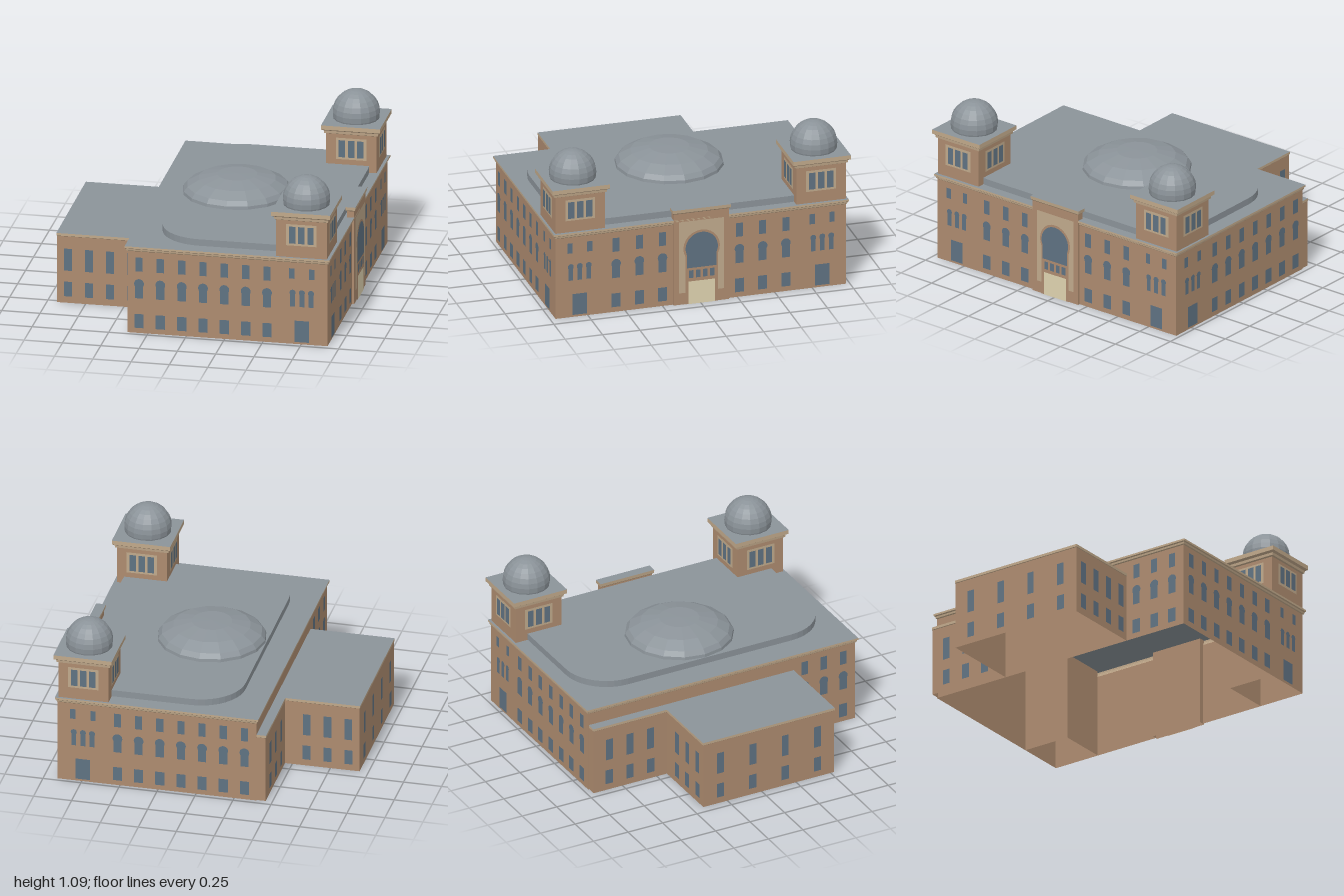
import * as THREE from 'three';

const paint = (color, flat = false) =>
  new THREE.MeshStandardMaterial({ color, side: THREE.DoubleSide, flatShading: flat });
const BRICK = paint(0xad8b6f, true), STONE = paint(0xc0a88a, true), ROOF = paint(0x8b9399, true);
const GLASS = paint(0x5f7282), PANEL = paint(0xc0aa8c), DOOR = paint(0xdfd3b0);

function add(parent, name, geometry, material) {
  const mesh = new THREE.Mesh(geometry, material);
  mesh.name = name;
  parent.add(mesh);
  return mesh;
}

// Open rectangular skirt; profile is a list of [outward offset, height]
function skirt([x0, x1, z0, z1], profile) {
  const pos = [];
  const ring = ([o, y]) => [[x0 - o, y, z1 + o], [x1 + o, y, z1 + o], [x1 + o, y, z0 - o], [x0 - o, y, z0 - o]];
  for (let i = 0; i + 1 < profile.length; i++) {
    const a = ring(profile[i]), b = ring(profile[i + 1]);
    for (let k = 0; k < 4; k++) {
      const n = (k + 1) % 4;
      pos.push(...a[k], ...a[n], ...b[n], ...a[k], ...b[n], ...b[k]);
    }
  }
  const g = new THREE.BufferGeometry();
  g.setAttribute('position', new THREE.Float32BufferAttribute(pos, 3));
  g.computeVertexNormals();
  return g;
}

// Hollow block: walls, a cornice and a flat roof sheet
function block(parent, name, rect, wallTop, cornice) {
  const g = new THREE.Group();
  g.name = name;
  parent.add(g);
  add(g, 'walls', skirt(rect, [[0, 0], [0, wallTop]]), BRICK);
  add(g, 'cornice', skirt(rect, [[0, wallTop], ...cornice]), STONE);
  const [o, y] = cornice[cornice.length - 1];
  const [x0, x1, z0, z1] = rect;
  const top = new THREE.PlaneGeometry(x1 - x0 + 2 * o, z1 - z0 + 2 * o).rotateX(-Math.PI / 2);
  top.translate((x0 + x1) / 2, y, (z0 + z1) / 2);
  add(g, 'roof', top, ROOF);
  return g;
}

// Facade plane: local x runs along the wall, local z points outward
function facade(parent, name, x, z, turn) {
  const g = new THREE.Group();
  g.name = name;
  g.position.set(x, 0, z);
  g.rotation.y = turn * Math.PI / 2;
  parent.add(g);
  return g;
}

function rect(f, name, u, w, y0, y1, mat = GLASS, lift = 0.004) {
  add(f, name, new THREE.PlaneGeometry(w, y1 - y0), mat).position.set(u, (y0 + y1) / 2, lift);
}

// Horseshoe arch: legs of half width a under a larger circle of radius r
function horseshoe(f, name, u, a, r, y0, y1, mat = GLASS, lift = 0.004) {
  const s = new THREE.Shape(), t = Math.acos(a / r);
  s.moveTo(-a, y0);
  s.lineTo(a, y0);
  s.absarc(0, y1 - r, r, -t, Math.PI + t, false);
  add(f, name, new THREE.ShapeGeometry(s, 8), mat).position.set(u, 0, lift);
}

// One three-storey column of windows
function column(f, u) {
  rect(f, 'lowerWindow', u, 0.06, 0.035, 0.13);
  horseshoe(f, 'archedWindow', u, 0.027, 0.032, 0.237, 0.368);
  rect(f, 'upperWindow', u, 0.047, 0.42, 0.515);
}

// Two-storey column used on the lower wing
function wingColumn(f, u) {
  rect(f, 'lowerWindow', u, 0.053, 0.045, 0.145);
  rect(f, 'tallWindow', u, 0.05, 0.22, 0.37);
}

// Corner bay below a tower
function cornerBay(f, u) {
  rect(f, 'sideDoor', u, 0.095, 0.015, 0.16);
  for (const d of [-0.06, 0, 0.06]) horseshoe(f, 'narrowArch', u + d, 0.016, 0.02, 0.255, 0.37);
  for (const d of [-0.066, 0.066]) rect(f, 'smallWindow', u + d, 0.035, 0.445, 0.515);
}

function tower(parent, name, x, z) {
  const h = 0.165;
  const g = block(parent, name, [x - h, x + h, z - h, z + h], 0.84,
    [[0.01, 0.845], [0.012, 0.862], [0.027, 0.872], [0.027, 0.9]]);
  for (let k = 0; k < 4; k++) {
    const a = k * Math.PI / 2;
    const f = facade(g, 'towerFace', x + Math.sin(a) * h, z + Math.cos(a) * h, k);
    rect(f, 'windowPanel', 0, 0.2, 0.67, 0.815, PANEL, 0.003);
    for (const d of [-0.06, 0, 0.06]) rect(f, 'towerWindow', d, 0.042, 0.685, 0.8, GLASS, 0.006);
  }
  const dome = add(g, 'towerDome', new THREE.SphereGeometry(0.153, 16, 10, 0, Math.PI * 2, 0, Math.PI * 0.7), ROOF);
  dome.position.set(x, 0.938, z);
}

// Raised roof deck with rounded corners
function deckGeometry(x0, x1, z0, z1, r, h) {
  const s = new THREE.Shape(), q = Math.PI / 2;
  s.absarc(x1 - r, z1 - r, r, 0, q, false);
  s.absarc(x0 + r, z1 - r, r, q, 2 * q, false);
  s.absarc(x0 + r, z0 + r, r, 2 * q, 3 * q, false);
  s.absarc(x1 - r, z0 + r, r, 3 * q, 4 * q, false);
  return new THREE.ExtrudeGeometry(s, { depth: h, bevelEnabled: false, curveSegments: 5 }).rotateX(-q);
}

export function createModel() {
  const model = new THREE.Group();
  model.name = 'building';
  const body = new THREE.Group();
  body.name = 'body';
  body.rotation.y = 0.006;
  model.add(body);

  // Main hall, rear wing and narrow rear strip
  block(body, 'mainHall', [-0.39, 0.915, -0.97, 0.97], 0.555,
    [[0.006, 0.56], [0.008, 0.572], [0.015, 0.577], [0.015, 0.59]]);
  block(body, 'rearWing', [-0.94, -0.39, -0.43, 0.52], 0.452, [[0.003, 0.455], [0.003, 0.472]]);
  block(body, 'rearStrip', [-0.45, -0.39, -0.962, -0.43], 0.452, [[0.003, 0.455], [0.003, 0.472]]);

  // Long side facades
  for (const s of [1, -1]) {
    const f = facade(body, s > 0 ? 'frontFacade' : 'backFacade', 0, s * 0.97, s > 0 ? 0 : 2);
    for (let i = 0; i < 7; i++) column(f, s * (-0.313 + i * 0.139));
    cornerBay(f, s * 0.748);
  }

  // Entrance facade
  const side = facade(body, 'entranceFacade', 0.915, 0, 1);
  for (const s of [1, -1]) {
    for (const u of [0.257, 0.412, 0.567]) column(side, s * u);
    cornerBay(side, s * 0.81);
  }

  // Rear facades
  const rear = facade(body, 'rearFacade', -0.39, 0, 3);
  for (const u of [0.6, 0.74, 0.88]) column(rear, u);
  const strip = facade(body, 'stripFacade', -0.45, 0, 3);
  for (const u of [-0.85, -0.7, -0.55]) wingColumn(strip, u);
  const wingEnd = facade(body, 'wingEnd', -0.94, 0.045, 3);
  for (let i = 0; i < 4; i++) wingColumn(wingEnd, (i - 1.5) * 0.235);
  const wingFront = facade(body, 'wingFront', 0, 0.52, 0);
  const wingBack = facade(body, 'wingBack', 0, -0.43, 2);
  for (let i = 0; i < 4; i++) {
    wingColumn(wingFront, -0.867 + i * 0.137);
    if (i < 3) wingColumn(wingBack, 0.867 - i * 0.137);
  }

  // Projecting entrance bay with layered portal
  const bay = block(body, 'entranceBay', [0.885, 0.93, -0.185, 0.185], 0.632,
    [[0.008, 0.64], [0.01, 0.662]]);
  const portal = facade(bay, 'portal', 0.93, 0, 1);
  rect(portal, 'portalPanel', 0, 0.3, 0.08, 0.575, PANEL, 0.002);
  horseshoe(portal, 'portalFrame', 0, 0.108, 0.122, 0, 0.508, BRICK, 0.004);
  horseshoe(portal, 'portalWindow', 0, 0.1, 0.108, 0.25, 0.493, GLASS, 0.006);
  for (let i = 0; i < 4; i++) rect(portal, 'transomWindow', (i - 1.5) * 0.047, 0.03, 0.18, 0.233, GLASS, 0.006);
  rect(portal, 'mainDoor', 0, 0.178, 0, 0.157, DOOR, 0.006);

  // Corner towers
  tower(body, 'leftTower', 0.745, 0.805);
  tower(body, 'rightTower', 0.745, -0.805);

  // Roof deck and shallow central dome
  add(body, 'roofDeck', deckGeometry(-0.23, 0.865, -0.885, 0.885, 0.29, 0.044), ROOF).position.y = 0.591;
  const profile = [[0.352, 0.63], [0.348, 0.655], [0.325, 0.685], [0.25, 0.727], [0.13, 0.754], [0, 0.757]]
    .map(([r, y]) => new THREE.Vector2(r, y));
  add(body, 'centralDome', new THREE.LatheGeometry(profile, 16), ROOF).position.set(0.125, 0, -0.03);

  return model;
}
